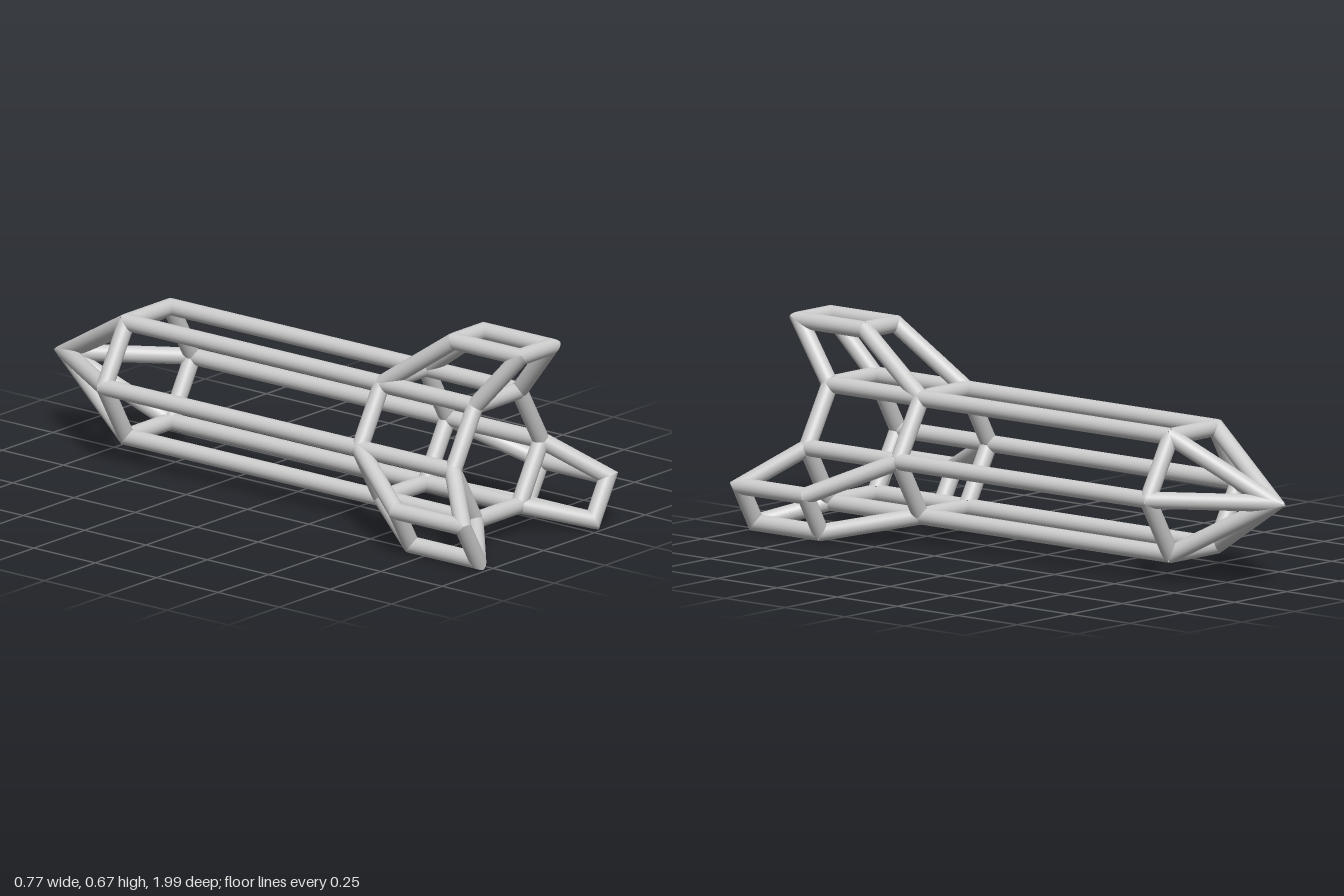
import * as THREE from 'three';

const R = 0.027;       // strut radius
const AXIS_Y = 0.291;  // height of the rocket's long axis
const SIDES = 32;

export function createModel() {
  const model = new THREE.Group();
  model.name = 'rocketFrame';
  const nodes = [];   // joint positions
  const links = [];   // { a, b, part }
  const node = (x, y, z) => nodes.push(new THREE.Vector3(x, y + AXIS_Y, z)) - 1;
  const link = (a, b, part) => links.push({ a, b, part });

  // Hexagonal body rings: tail, fin root, shoulder
  const rings = [0.81, 0.43, -0.61].map((z) =>
    Array.from({ length: 6 }, (_, i) => {
      const t = (i * Math.PI) / 3;
      return node(0.217 * Math.cos(t), 0.217 * Math.sin(t), z);
    }));
  const ringNames = ['tailRing', 'finRootRing', 'shoulderRing'];
  const tip = node(0, 0, -0.947);
  for (let i = 0; i < 6; i++) {
    rings.forEach((ring, k) => link(ring[i], ring[(i + 1) % 6], ringNames[k]));
    link(rings[0][i], rings[1][i], 'tailRails');
    link(rings[1][i], rings[2][i], 'bodyRails');
    link(rings[2][i], tip, 'noseStruts');
  }

  // Three box-frame fins, each standing on one side of the hexagon
  ['topFin', 'rightFin', 'leftFin'].forEach((part, k) => {
    const turn = (k * Math.PI * 2) / 3;
    const finNode = (x, z) => {
      const p = new THREE.Vector2(x, 0.37).rotateAround(new THREE.Vector2(), turn);
      return node(p.x, p.y, z);
    };
    const outer = [1, -1].map((side, s) => {
      const corner = 1 + 2 * k + s;
      const front = finNode(side * 0.073, 0.966);
      const rear = finNode(side * 0.073, 0.695);
      link(rings[0][corner % 6], front, part);
      link(front, rear, part);
      link(rear, rings[1][corner % 6], part);
      return { front, rear };
    });
    link(outer[0].front, outer[1].front, part);
    link(outer[0].rear, outer[1].rear, part);
  });

  // Unit directions of the other struts leaving a joint
  const neighbours = (n, self) => links
    .filter((l) => l !== self && (l.a === n || l.b === n))
    .map((l) => nodes[l.a === n ? l.b : l.a].clone().sub(nodes[n]).normalize());

  // A round strut whose ends are cut on the bisector planes of each joint
  function strut(l) {
    const geo = new THREE.CylinderGeometry(R, R, 1, SIDES, 1, true);
    const axis = nodes[l.b].clone().sub(nodes[l.a]);
    const length = axis.length();
    axis.normalize();
    const q = new THREE.Quaternion().setFromUnitVectors(new THREE.Vector3(0, 1, 0), axis);
    const ends = [
      { p: nodes[l.a], d: axis, others: neighbours(l.a, l) },
      { p: nodes[l.b], d: axis.clone().negate(), others: neighbours(l.b, l) },
    ];
    const pos = geo.attributes.position;
    const nor = geo.attributes.normal;
    const o = new THREE.Vector3();
    const v = new THREE.Vector3();
    for (let i = 0; i < pos.count; i++) {
      const end = ends[pos.getY(i) > 0 ? 1 : 0];
      o.set(pos.getX(i), 0, pos.getZ(i)).applyQuaternion(q);
      let t = -0.1;
      for (const d of end.others) t = Math.max(t, o.dot(d) / (1 - end.d.dot(d)));
      v.copy(end.p).add(o).addScaledVector(end.d, Math.min(t, length * 0.45));
      pos.setXYZ(i, v.x, Math.max(v.y, 0), Math.min(v.z, 1));
      o.normalize();
      nor.setXYZ(i, o.x, o.y, o.z);
    }
    return geo;
  }

  const material = new THREE.MeshStandardMaterial({ color: 0xcccccc, side: THREE.DoubleSide });
  const parts = {};
  for (const l of links) {
    if (!parts[l.part]) {
      parts[l.part] = new THREE.Group();
      parts[l.part].name = l.part;
      model.add(parts[l.part]);
    }
    const mesh = new THREE.Mesh(strut(l), material);
    mesh.name = 'strut';
    parts[l.part].add(mesh);
  }
  return model;
}
